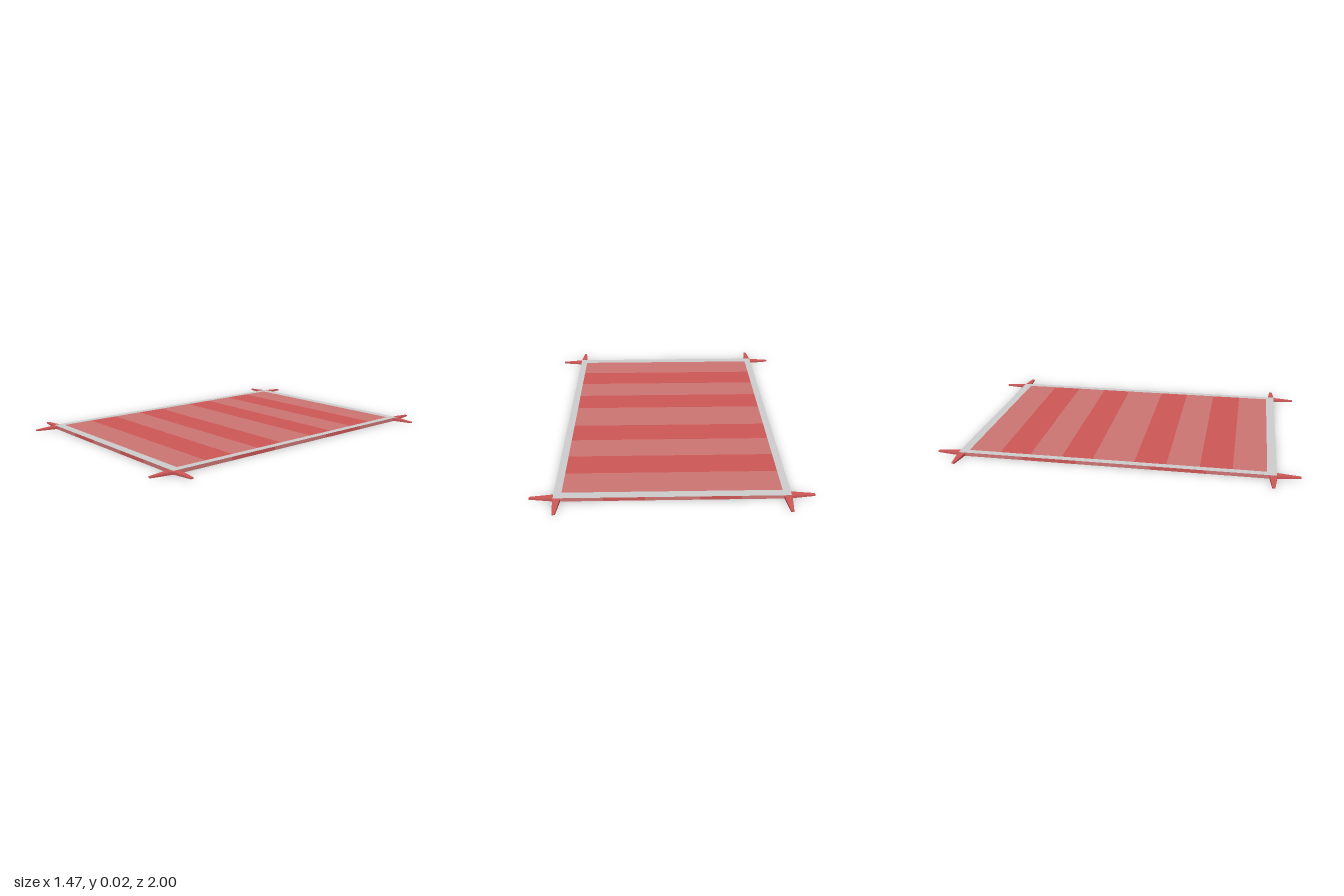
import * as THREE from 'three';

const mat = (name, color) => new THREE.MeshStandardMaterial({ name, color, flatShading: true });

export function createModel() {
  const red = mat('deep red', 0xcd5757);
  const pale = mat('faded red', 0xcd7573);
  const grey = mat('border grey', 0xcdcdcd);
  const W = 1.22, L = 1.75, H = 0.02;
  const group = new THREE.Group();
  group.name = 'rug';

  // A flat face of alternating stripes, laid out along its local x
  const stripedFace = (name, edges, height) => {
    const face = new THREE.Group();
    face.name = name;
    for (let i = 0; i < edges.length - 1; i++) {
      const stripe = new THREE.Mesh(
        new THREE.PlaneGeometry(edges[i + 1] - edges[i], height), i % 2 ? red : pale);
      stripe.name = 'stripe';
      stripe.position.x = (edges[i] + edges[i + 1]) / 2;
      face.add(stripe);
    }
    group.add(face);
    return face;
  };
  const fiveStripes = (length) => [-0.5, -0.29, -0.115, 0.115, 0.29, 0.5].map((f) => f * length);

  // Four edges of the rug
  for (let i = 0; i < 4; i++) {
    const long = i % 2 === 1;
    const edge = stripedFace(long ? 'sideEdge' : 'endEdge', fiveStripes(long ? L : W), H);
    const a = i * Math.PI / 2, d = (long ? W : L) / 2;
    edge.position.set(Math.sin(a) * d, H / 2, Math.cos(a) * d);
    edge.rotation.y = a;
  }

  // Underside, striped lengthwise
  const underside = stripedFace('underside', fiveStripes(W), L);
  underside.rotation.x = Math.PI / 2;

  // Woven top, striped crosswise
  const top = stripedFace('wovenTop',
    [-0.825, -0.645, -0.47, -0.29, -0.115, 0.115, 0.29, 0.47, 0.645, 0.825], 1.14);
  top.rotation.set(-Math.PI / 2, 0, Math.PI / 2);
  top.position.y = H;

  // Grey border flush with the top
  const rect = (Type, w, l) => new Type([[-w, -l], [w, -l], [w, l], [-w, l]]
    .map(([x, y]) => new THREE.Vector2(x, y)));
  const frame = rect(THREE.Shape, W / 2, L / 2);
  frame.holes.push(rect(THREE.Path, 0.57, 0.825));
  const border = new THREE.Mesh(new THREE.ShapeGeometry(frame), grey);
  border.name = 'border';
  border.rotation.x = -Math.PI / 2;
  border.position.y = H;
  group.add(border);

  // Tapered corner tassels, two at each corner, pointing along +z before turning
  const tasselGeometry = new THREE.BoxGeometry(0.044, 0.016, 0.14);
  const p = tasselGeometry.attributes.position;
  for (let i = 0; i < p.count; i++) {
    if (p.getZ(i) > 0) p.setXY(i, p.getX(i) * 0.35, p.getY(i) * 0.45);
  }
  tasselGeometry.computeVertexNormals();
  for (const sx of [-1, 1]) for (const sz of [-1, 1]) {
    const endTassel = new THREE.Mesh(tasselGeometry, red);
    endTassel.name = 'endTassel';
    endTassel.position.set(sx * 0.592, H / 2, sz * 0.93);
    endTassel.rotation.y = sz > 0 ? 0 : Math.PI;
    const sideTassel = new THREE.Mesh(tasselGeometry, red);
    sideTassel.name = 'sideTassel';
    sideTassel.position.set(sx * 0.663, H / 2, sz * 0.857);
    sideTassel.rotation.y = sx * Math.PI / 2;
    group.add(endTassel, sideTassel);
  }
  return group;
}
